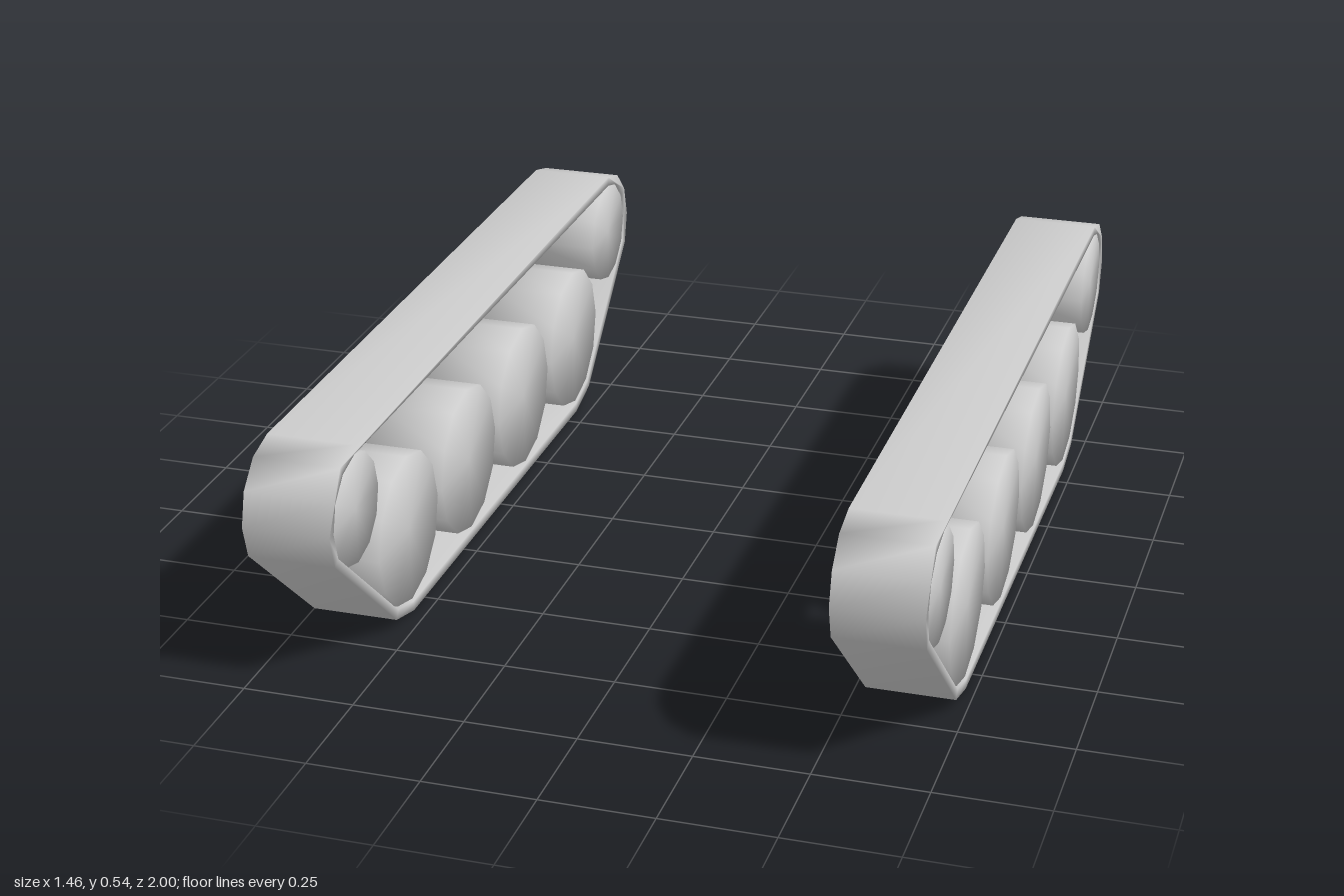
import * as THREE from 'three';
import { mergeVertices } from 'three/addons/utils/BufferGeometryUtils.js';

const WIDTH = 0.196;
const material = new THREE.MeshStandardMaterial({ color: 0xcccccc });

// End rollers sit high, road wheels sit low
const END = { z: 0.85, y: 0.385 };
const ROAD = { z: 0.565, y: 0.204 };

// Weld all corners so the shading runs smoothly over every edge
function weld(geometry) {
  geometry.deleteAttribute('uv');
  geometry.deleteAttribute('normal');
  const welded = mergeVertices(geometry, 1e-4);
  welded.computeVertexNormals();
  return welded;
}

// Belt outline wrapped around the end rollers and the outer road wheels
function beltOutline(endRadius, roadRadius) {
  const half = [];
  const add = (c, r, deg) => {
    const a = THREE.MathUtils.degToRad(deg);
    half.push(new THREE.Vector2(c.z + r * Math.cos(a), c.y + r * Math.sin(a)));
  };
  for (const deg of [-90, -60]) add(ROAD, roadRadius, deg);
  for (const deg of [-30, 0, 30, 60, 90]) add(END, endRadius, deg);
  const mirrored = half.map((p) => new THREE.Vector2(-p.x, p.y)).reverse();
  return [...half, ...mirrored];
}

function beltGeometry() {
  const shape = new THREE.Shape(beltOutline(0.15, 0.204));
  shape.holes.push(new THREE.Path(beltOutline(0.127, 0.181)));
  const geometry = new THREE.ExtrudeGeometry(shape, { depth: WIDTH, bevelEnabled: false });
  geometry.translate(0, 0, -WIDTH / 2);
  geometry.rotateY(Math.PI / 2);
  return weld(geometry);
}

function wheelGeometry(radius) {
  const geometry = new THREE.CylinderGeometry(radius, radius, WIDTH - 0.006, 12);
  geometry.rotateZ(Math.PI / 2);
  return weld(geometry);
}

export function createModel() {
  const model = new THREE.Group();
  model.name = 'trackPair';
  const belt = beltGeometry();
  const roller = wheelGeometry(0.125);
  const wheel = wheelGeometry(0.175);

  for (const [side, x] of [['left', 0.63], ['right', -0.63]]) {
    const track = new THREE.Group();
    track.name = side + 'Track';
    track.position.x = x;
    const add = (geometry, name, y, z) => {
      const mesh = new THREE.Mesh(geometry, material);
      mesh.name = name;
      mesh.position.set(0, y, z);
      track.add(mesh);
    };
    add(belt, 'belt', 0, 0);
    // Raised roller at each end
    add(roller, 'frontRoller', END.y, END.z);
    add(roller, 'rearRoller', END.y, -END.z);
    // Four evenly spaced road wheels
    for (let i = 0; i < 4; i++) {
      add(wheel, 'roadWheel' + (i + 1), ROAD.y, ROAD.z * (1 - (2 * i) / 3));
    }
    model.add(track);
  }
  return model;
}
